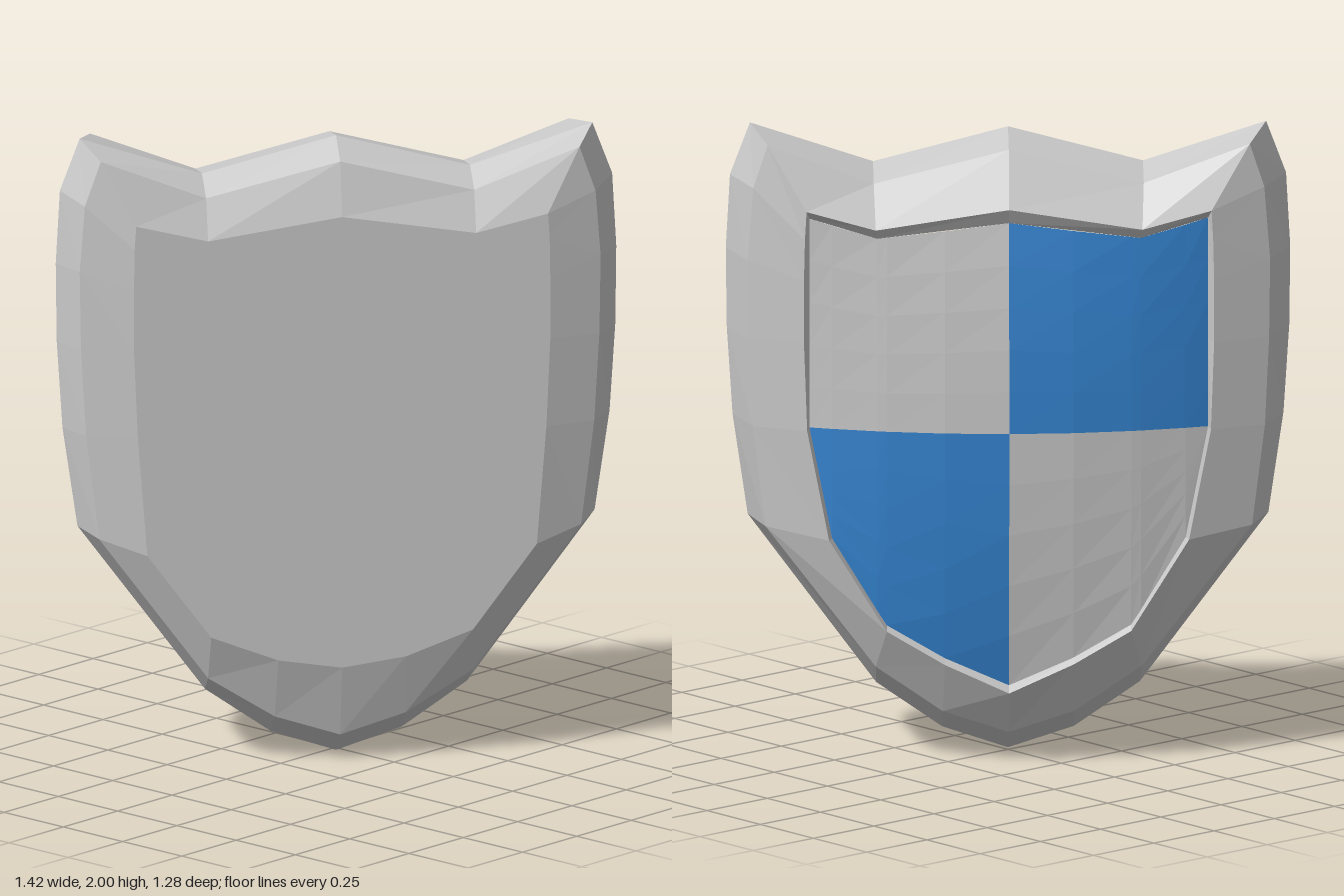
import * as THREE from 'three';

// Half outlines [x, y] from bottom centre, up the side, to top centre; z is the depth of each ring
const BACK = { z: () => -0.19, pts: [[0, .31], [.2, .34], [.41, .42], [.61, .69], [.64, 1.07], [.652, 1.35], [.652, 1.55], [.65, 1.68], [.645, 1.755], [.42, 1.7], [0, 1.765]] };
const BACK_BEVEL = { z: () => -0.138, pts: [[0, .08], [.205, .145], [.414, .275], [.755, .735], [.796, 1.07], [.812, 1.35], [.816, 1.6], [.8, 1.81], [.75, 1.953], [.42, 1.825], [0, 1.93]] };
const RIDGE = { z: () => -0.028, pts: [[0, 0], [.205, .068], [.41, .21], [.81, .75], [.857, 1.07], [.875, 1.35], [.878, 1.6], [.865, 1.835], [.803, 2], [.42, 1.875], [0, 1.985]] };
const FRONT_BEVEL = { z: () => 0.145, pts: [[0, .09], [.205, .157], [.414, .3], [.757, .75], [.797, 1.07], [.81, 1.35], [.813, 1.6], [.795, 1.83], [.75, 1.967], [.42, 1.843], [0, 1.95]] };
const FRONT_EDGE = { z: (x) => 0.215 + 0.025 * (1 - Math.abs(x) / 0.64), pts: [[0, .235], [.2, .325], [.38, .43], [.56, .72], [.628, 1.07], [.638, 1.35], [.638, 1.55], [.635, 1.68], [.63, 1.77], [.415, 1.712], [0, 1.78]] };

// The field is a shallow dome set inside the rim
const fieldZ = (x, y) => 0.165 + (0.1 - 0.11 * (y - 1.07) ** 2) * (1 - (x / 0.62) ** 2);
const FIELD_EDGE = { z: fieldZ, pts: [[0, .25], [.2, .34], [.38, .445], [.55, .72], [.62, 1.07], [.62, 1.35], [.62, 1.55], [.62, 1.67], [.62, 1.737], [.41, 1.68], [0, 1.733]] };

const loopOf = ({ pts, z }) => [
  ...pts,
  ...pts.slice(1, -1).reverse().map(([x, y]) => [-x, y]),
].map(([x, y]) => [x, y, z(x, y)]);

function fromQuads(quads) {
  const pos = [];
  for (const [a, b, c, d] of quads) pos.push(...a, ...b, ...c, ...a, ...c, ...d);
  const geo = new THREE.BufferGeometry();
  geo.setAttribute('position', new THREE.Float32BufferAttribute(pos, 3));
  geo.computeVertexNormals();
  return geo;
}

// Faceted band joining successive rings
function band(rings) {
  const loops = rings.map(loopOf), quads = [];
  for (let r = 0; r < loops.length - 1; r++) {
    const p = loops[r], q = loops[r + 1];
    for (let i = 0; i < p.length; i++) {
      const j = (i + 1) % p.length;
      quads.push([p[i], p[j], q[j], q[i]]);
    }
  }
  return fromQuads(quads);
}

// One quarter of the domed field: side is +1 or -1, upper picks the half above the split
function quarter(side, upper) {
  const columns = [[0, .25, 1.733], [.2, .34, 1.707], [.38, .445, 1.684], [.41, .485, 1.68], [.55, .72, 1.717], [.62, 1.07, 1.737]];
  const rows = 5, split = 1.07, quads = [];
  const point = (c, r) => {
    const [x, low, high] = columns[c];
    const y = upper ? split + (high - split) * r / rows : low + (split - low) * r / rows;
    return [side * x, y, fieldZ(x, y)];
  };
  for (let c = 0; c < columns.length - 1; c++) {
    for (let r = 0; r < rows; r++) {
      const q = [point(c, r), point(c + 1, r), point(c + 1, r + 1), point(c, r + 1)];
      quads.push(side > 0 ? q : q.reverse());
    }
  }
  return fromQuads(quads);
}

export function createModel() {
  const grey = new THREE.MeshStandardMaterial({ color: 0xcacaca, flatShading: true });
  grey.name = 'light grey';
  const blue = new THREE.MeshStandardMaterial({ color: 0x3585d2, flatShading: true });
  blue.name = 'blue';

  const shield = new THREE.Group();
  shield.name = 'shield';
  const add = (name, geometry, material) => {
    const mesh = new THREE.Mesh(geometry, material);
    mesh.name = name;
    shield.add(mesh);
  };

  // Bevelled rim, including the small inner wall down to the field
  add('rim', band([BACK, BACK_BEVEL, RIDGE, FRONT_BEVEL, FRONT_EDGE, FIELD_EDGE]), grey);

  // Flat back plate
  const outline = new THREE.Shape(loopOf(BACK).map(([x, y]) => new THREE.Vector2(x, y)));
  add('backPlate', new THREE.ShapeGeometry(outline).rotateY(Math.PI).translate(0, 0, -0.19), grey);

  // Quartered field
  add('upperRightQuarter', quarter(1, true), blue);
  add('upperLeftQuarter', quarter(-1, true), grey);
  add('lowerRightQuarter', quarter(1, false), grey);
  add('lowerLeftQuarter', quarter(-1, false), blue);

  // The shield stands turned away at an angle
  shield.rotation.y = Math.PI - 0.71;
  const model = new THREE.Group();
  model.name = 'shieldModel';
  model.add(shield);
  return model;
}
